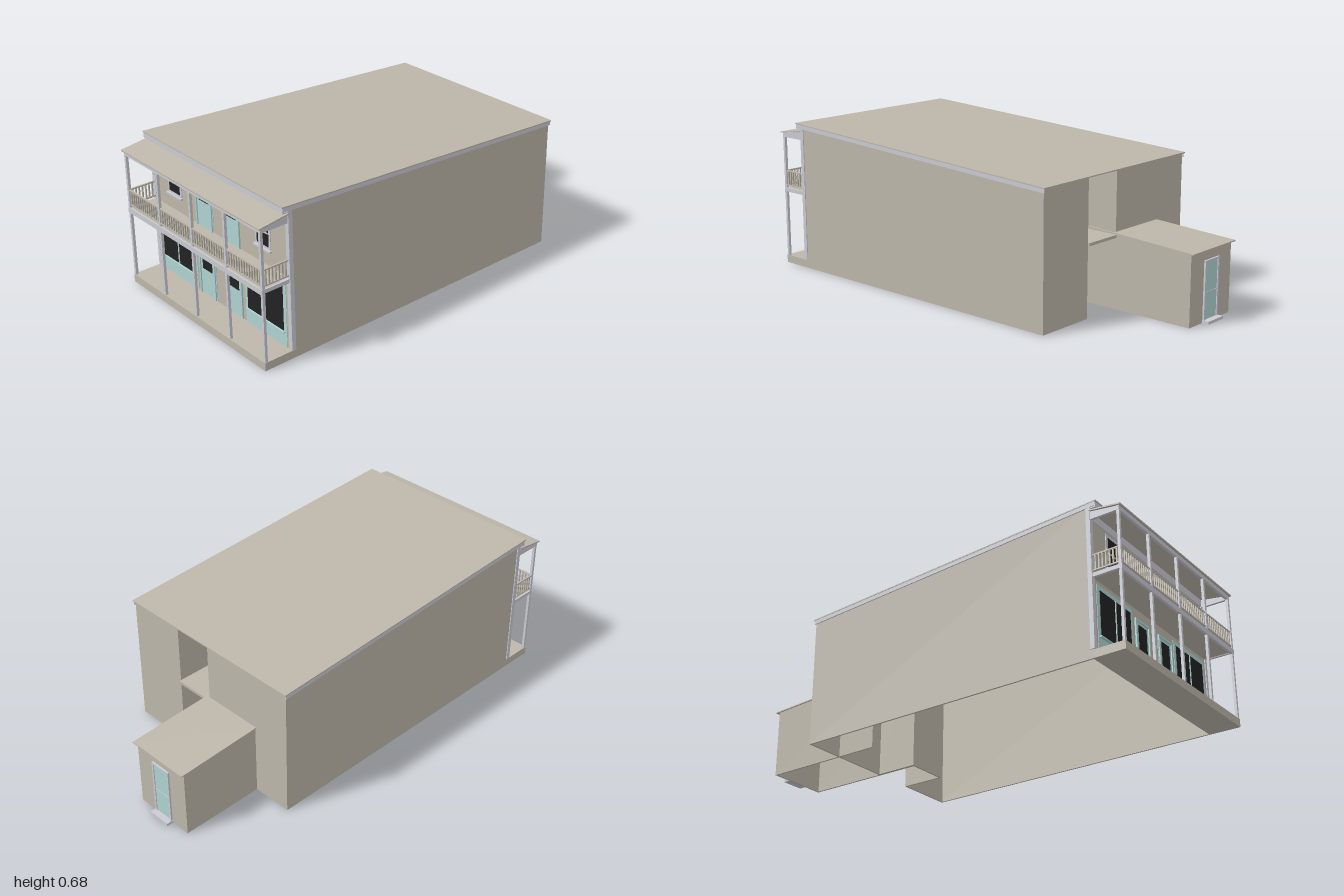
import * as THREE from 'three';

const mat = (name, color) => {
  const m = new THREE.MeshStandardMaterial({ color });
  m.name = name;
  return m;
};

export function createModel() {
  const house = new THREE.Group();
  house.name = 'shopHouse';
  const beige = mat('beige walls and roofs', 0xbdb7aa);
  const trim = mat('pale grey trim', 0xcacbd3);
  const blue = mat('pale blue joinery', 0xaed3d1);
  const glass = mat('dark glass', 0x222222);

  const add = (name, geo, m) => {
    const mesh = new THREE.Mesh(geo, m);
    mesh.name = name;
    house.add(mesh);
    return mesh;
  };
  // Box given by its limits on each axis
  const box = (name, m, x0, x1, y0, y1, z0, z1) => {
    const g = new THREE.BoxGeometry(x1 - x0, y1 - y0, z1 - z0);
    g.translate((x0 + x1) / 2, (y0 + y1) / 2, (z0 + z1) / 2);
    return add(name, g, m);
  };
  // Side profile of [z, y] points, extruded from x0 to x1
  const profile = (name, m, pts, x0, x1) => {
    const s = new THREE.Shape(pts.map(p => new THREE.Vector2(p[0], p[1])));
    const g = new THREE.ExtrudeGeometry(s, { depth: x1 - x0, bevelEnabled: false });
    g.rotateY(-Math.PI / 2);
    g.translate(x1, 0, 0);
    return add(name, g, m);
  };
  // Sloping sheet between two [z, y] top points
  const sheet = (name, m, a, b, t, x0, x1) =>
    profile(name, m, [a, b, [b[0], b[1] - t], [a[0], a[1] - t]], x0, x1);

  const W = 0.463, T = 0.008, F = 0.857, B = -0.587, R = -0.39;
  const roofY = z => 0.677 - 0.076 * (0.89 - z) / 1.487;
  const wallY = z => roofY(z) - 0.005;
  // Wall running front to back, with a top that follows the main roof
  const longWall = (name, x0, z0, z1) =>
    profile(name, beige, [[z0, 0], [z1, 0], [z1, wallY(z1)], [z0, wallY(z0)]], x0, x0 + T);

  // Main shell, open underneath, with a recess in the back
  longWall('leftWall', W - T, B, F);
  longWall('rightWall', -W, B, F);
  box('frontWall', beige, -W + T, W - T, 0, wallY(F - T), F - T, F);
  box('backWallRight', beige, -W + T, 0, 0, wallY(B), B, B + T);
  box('backWallLeft', beige, 0.185, W - T, 0, wallY(B), B, B + T);
  longWall('recessWallLeft', 0.185, R, B + T);
  longWall('recessWallRight', -T, R, B + T);
  box('recessBackWall', beige, -T, 0.185 + T, 0, wallY(R), R, R + T);
  box('recessFloor', beige, 0, 0.185, 0.31, 0.323, -0.595, R);

  // Main roof and its edge boards
  sheet('mainRoof', beige, [0.89, roofY(0.89)], [-0.597, roofY(-0.597)], 0.005, -0.47, 0.47);
  for (const s of [-1, 1]) {
    const e = [s * W, s * 0.468].sort((a, b) => a - b);
    sheet('sideFascia', trim, [0.885, wallY(0.885)], [-0.592, wallY(-0.592)], 0.018, e[0], e[1]);
    const c = [s * 0.447, s * 0.467].sort((a, b) => a - b);
    box('cornerBoard', trim, c[0], c[1], 0.038, 0.655, 0.842, F + 0.004);
  }
  box('frontFascia', trim, -0.467, 0.467, 0.65, 0.672, 0.88, 0.887);
  box('eaveSoffit', trim, -0.467, 0.467, 0.646, 0.651, F, 0.887);
  box('frieze', trim, -W, W, 0.602, 0.648, F, F + 0.004);

  // Rear extension, with door and step
  const X0 = -0.28, X1 = 0.006, E = -0.968;
  const extY = z => 0.333 - 0.02 * (-0.59 - z) / 0.39;
  for (const x of [X0, X1 - T])
    profile('extensionSideWall', beige,
      [[E, 0], [R, 0], [R, extY(R) - 0.004], [E, extY(E) - 0.004]], x, x + T);
  box('extensionBackWall', beige, X0 + T, X1 - T, 0, extY(E) - 0.004, E, E + T);
  sheet('extensionRoof', beige, [B, extY(B)], [-0.985, extY(-0.985)], 0.005, -0.286, 0.016);
  box('rearDoor', blue, -0.178, -0.096, 0.012, 0.255, E - 0.004, E);
  for (const x of [-0.187, -0.096]) box('rearDoorJamb', trim, x, x + 0.009, 0.012, 0.264, E - 0.008, E);
  box('rearDoorHead', trim, -0.187, -0.087, 0.255, 0.264, E - 0.008, E);
  box('rearDoorRail', trim, -0.178, -0.096, 0.125, 0.13, E - 0.006, E);
  box('rearStep', trim, -0.19, -0.084, 0, 0.012, -1, E);

  // Two-storey porch
  const P = 0.992;
  box('porchBase', beige, -W, W, 0, 0.036, F, P);
  box('balconyFloor', beige, -W + 0.006, W - 0.006, 0.345, 0.36, F, P - 0.006);
  box('balconyBeam', trim, -W, W, 0.336, 0.36, P - 0.012, P);
  box('topBeam', trim, -W, W, 0.6, 0.619, P - 0.014, P - 0.002);
  for (const x of [-0.463, 0.451]) {
    box('balconySideBeam', trim, x, x + 0.012, 0.343, 0.36, F, P - 0.012);
    profile('topSideBeam', trim,
      [[F, 0.6], [P - 0.014, 0.6], [P - 0.014, 0.618], [F, 0.636]], x, x + 0.012);
  }
  sheet('porchRoof', beige, [0.999, 0.624], [F, 0.643], 0.006, -0.469, 0.469);

  // Posts and balustrade
  const postX = [-0.456, -0.228, 0, 0.228, 0.456];
  for (const x of postX) {
    box('lowerPost', trim, x - 0.006, x + 0.006, 0.036, 0.336, P - 0.014, P - 0.002);
    box('upperPost', trim, x - 0.006, x + 0.006, 0.36, 0.6, P - 0.014, P - 0.002);
  }
  const zr = P - 0.008;
  for (const y of [0.37, 0.437])
    box('frontRail', beige, -0.45, 0.45, y, y + 0.006, zr - 0.004, zr + 0.004);
  for (let i = 0; i < 4; i++)
    for (let k = 1; k < 14; k++) {
      const x = postX[i] + 0.228 * k / 14;
      box('baluster', beige, x - 0.003, x + 0.003, 0.374, 0.439, zr - 0.003, zr + 0.003);
    }
  for (const x of [-0.456, 0.456]) {
    for (const y of [0.37, 0.437])
      box('sideRail', beige, x - 0.004, x + 0.004, y, y + 0.006, F, zr);
    for (let k = 1; k < 8; k++) {
      const z = F + (zr - F) * k / 8;
      box('sideBaluster', beige, x - 0.003, x + 0.003, 0.374, 0.439, z - 0.003, z + 0.003);
    }
  }

  // Thin plate through the front wall, d proud of its face, mirrored for s = -1
  const plate = (name, m, s, x0, x1, y0, y1, d) =>
    box(name, m, s > 0 ? x0 : -x1, s > 0 ? x1 : -x0, y0, y1, m === glass ? F : F - T - 0.001, F + d);

  for (const s of [-1, 1]) {
    // Doors on both floors
    for (const [y0, top, g0, g1] of [[0.038, 0.3, 0.16, 0.277], [0.36, 0.586, 0.479, 0.562]]) {
      plate('doorPanel', blue, s, 0.033, 0.147, y0, top, 0.002);
      plate('doorJamb', blue, s, 0.038, 0.045, y0, top - 0.004, 0.007);
      plate('doorJamb', blue, s, 0.14, 0.147, y0, top - 0.004, 0.007);
      plate('doorHead', blue, s, 0.038, 0.147, top - 0.01, top, 0.007);
      plate('doorGlass', glass, s, 0.06, 0.125, g0, g1, 0.004);
    }
    // Shop window
    plate('shopFront', blue, s, 0.167, 0.433, 0.036, 0.327, 0.002);
    plate('shopGlass', glass, s, 0.184, 0.414, 0.107, 0.306, 0.004);
    plate('shopMullion', blue, s, 0.297, 0.303, 0.107, 0.306, 0.007);
    plate('shopSill', blue, s, 0.175, 0.424, 0.101, 0.107, 0.012);
    // Upper sash window
    plate('sashFrame', trim, s, 0.252, 0.348, 0.43, 0.591, 0.003);
    plate('sashGlass', glass, s, 0.264, 0.337, 0.445, 0.576, 0.005);
    plate('sashBar', trim, s, 0.264, 0.337, 0.502, 0.508, 0.008);
    plate('sashSill', trim, s, 0.247, 0.354, 0.426, 0.434, 0.012);
  }
  return house;
}
